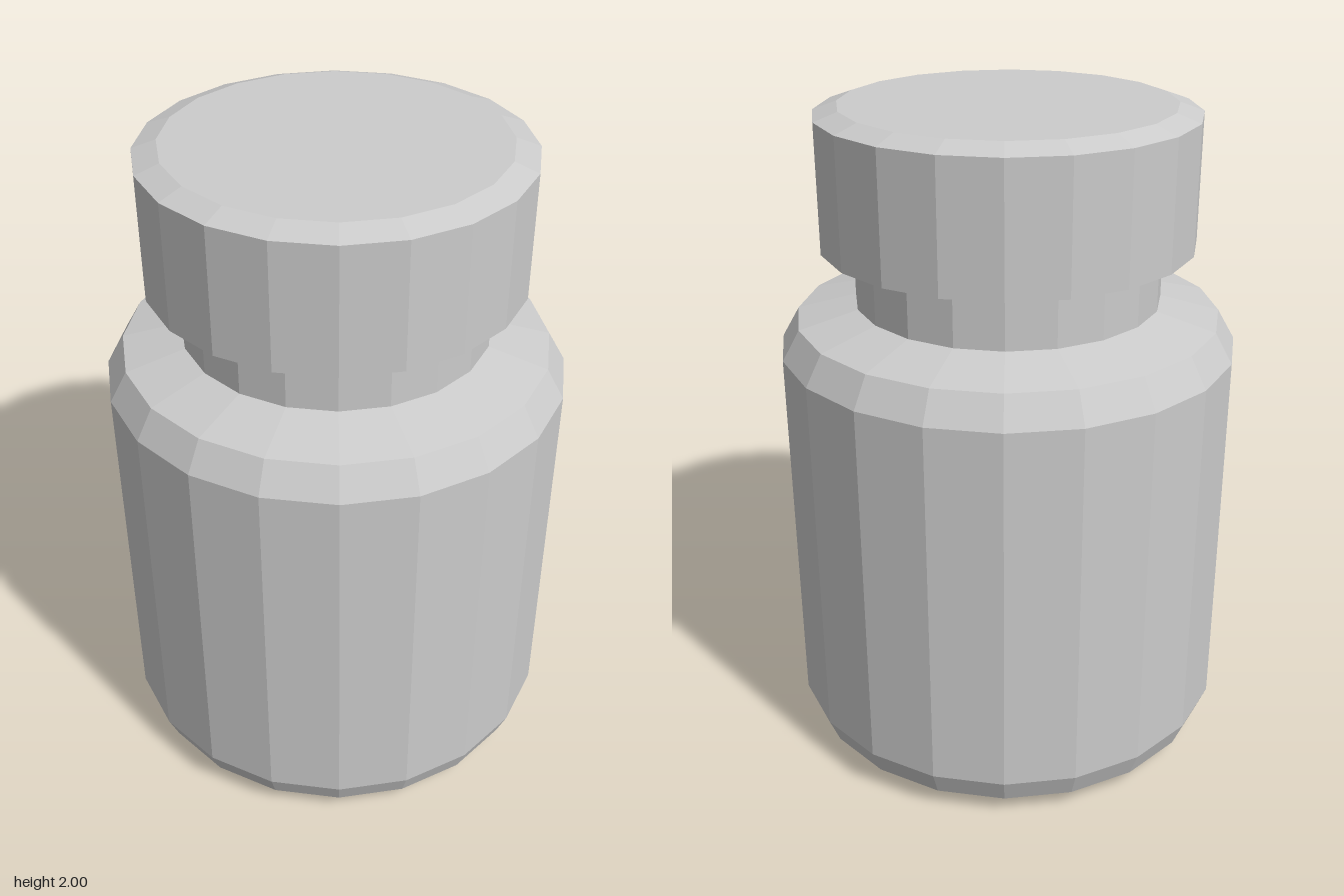
import * as THREE from 'three';

const SIDES = 20;

// Faceted solid of revolution from [radius, height] pairs, bottom to top
function turned(name, profile, material) {
  const points = profile.map(([r, y]) => new THREE.Vector2(r, y));
  const mesh = new THREE.Mesh(new THREE.LatheGeometry(points, SIDES), material);
  mesh.name = name;
  return mesh;
}

export function createModel() {
  const group = new THREE.Group();
  group.name = 'pillBottle';
  const material = new THREE.MeshStandardMaterial({
    color: 0xcccccc, flatShading: true, side: THREE.DoubleSide,
  });

  // Bottle body: flat base, rounded lower edge, straight wall, sloped shoulder
  group.add(turned('body', [
    [0, 0], [0.457, 0], [0.57, 0.03], [0.653, 0.06], [0.685, 0.14],
    [0.685, 1.29], [0.633, 1.38], [0.457, 1.425],
  ], material));

  // Narrow neck between shoulder and cap
  group.add(turned('neck', [[0.457, 1.425], [0.457, 1.59]], material));

  // Wide cap with a bevelled top edge
  group.add(turned('cap', [
    [0.457, 1.59], [0.555, 1.6], [0.555, 1.975], [0.485, 2], [0, 2],
  ], material));

  return group;
}
